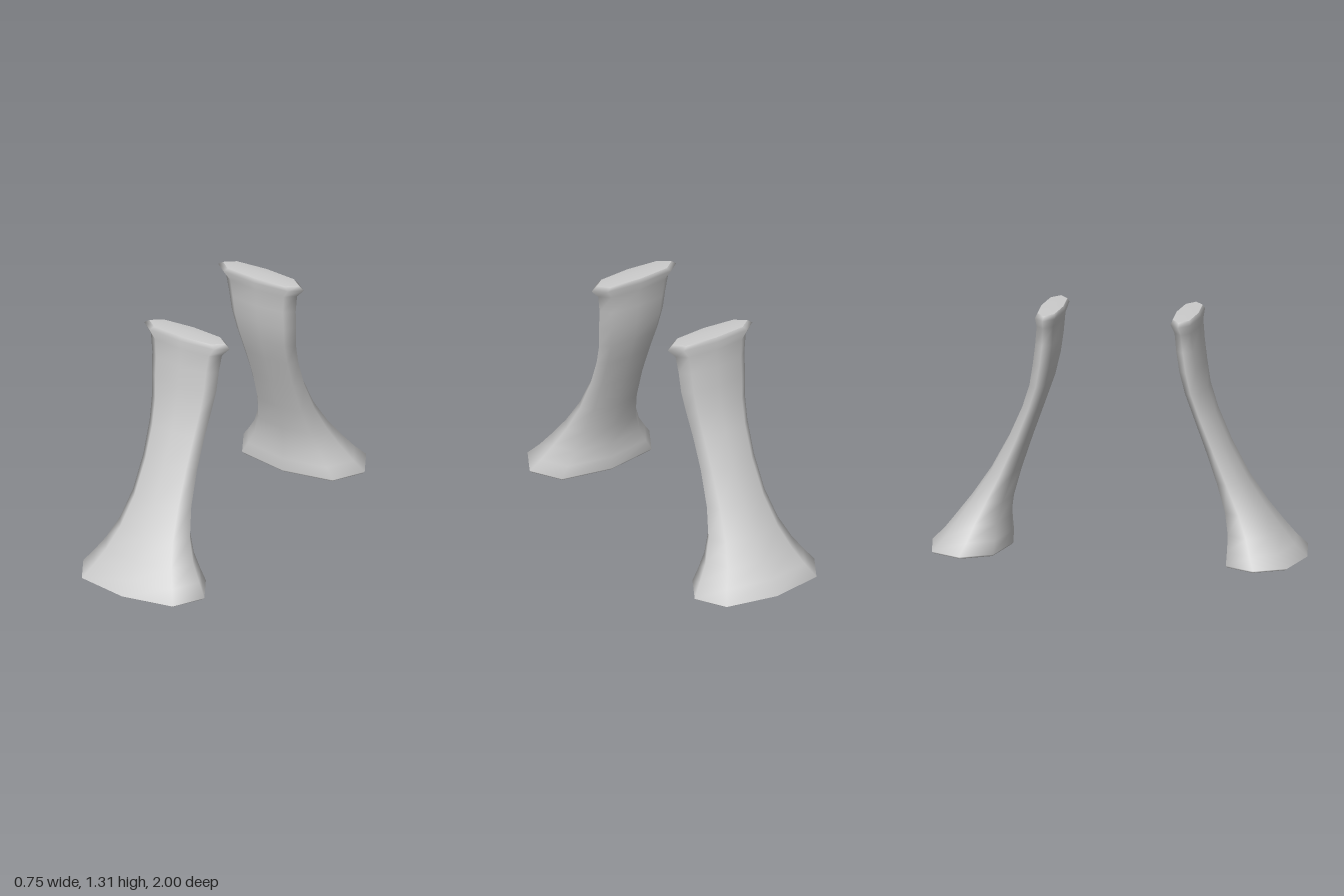
import * as THREE from 'three';

// Stations up the leg: height, half width, outer z, inner z
const STATIONS = [
  [0.005, 0.365, 0.985, 0.578],
  [0.015, 0.375, 1.0, 0.57],
  [0.08, 0.325, 0.935, 0.577],
  [0.16, 0.27, 0.872, 0.581],
  [0.27, 0.217, 0.787, 0.567],
  [0.42, 0.18, 0.685, 0.525],
  [0.6, 0.166, 0.588, 0.465],
  [0.77, 0.17, 0.513, 0.405],
  [0.9, 0.183, 0.47, 0.36],
  [1.02, 0.2, 0.45, 0.332],
  [1.13, 0.206, 0.436, 0.317],
  [1.23, 0.22, 0.426, 0.31],
  [1.28, 0.265, 0.431, 0.293],
  [1.302, 0.235, 0.42, 0.302],
];

// Flattened octagon, running from +z towards +x
const OCTAGON = [[0, 1], [0.75, 0.76], [1, 0], [0.75, -0.76], [0, -1], [-0.75, -0.76], [-1, 0], [-0.75, 0.76]];
const SIDES = OCTAGON.length;

const material = new THREE.MeshStandardMaterial({ color: 0xcccccc });

function ringPoints([y, w, zOut, zIn]) {
  const mid = (zOut + zIn) / 2, half = (zOut - zIn) / 2;
  return OCTAGON.flatMap(([u, v]) => [u * w, y, mid + v * half]);
}

function build(positions, index) {
  const geometry = new THREE.BufferGeometry();
  geometry.setAttribute('position', new THREE.Float32BufferAttribute(positions, 3));
  geometry.setIndex(index);
  geometry.computeVertexNormals();
  return geometry;
}

// Smooth skin through all stations
function skin() {
  const index = [];
  for (let i = 0; i < STATIONS.length - 1; i++) {
    for (let j = 0; j < SIDES; j++) {
      const k = (j + 1) % SIDES;
      const a = i * SIDES + j, b = i * SIDES + k;
      index.push(a, b, b + SIDES, a, b + SIDES, a + SIDES);
    }
  }
  return build(STATIONS.flatMap(ringPoints), index);
}

// Slightly domed fan closing one end
function cap(station, centreY, up) {
  const positions = [...ringPoints(station), 0, centreY, (station[2] + station[3]) / 2];
  const index = [];
  for (let j = 0; j < SIDES; j++) {
    const k = (j + 1) % SIDES;
    index.push(SIDES, up ? j : k, up ? k : j);
  }
  return build(positions, index);
}

function createLeg(name) {
  const leg = new THREE.Group();
  leg.name = name;
  const add = (part, geometry) => {
    const mesh = new THREE.Mesh(geometry, material);
    mesh.name = part;
    leg.add(mesh);
  };
  add('legColumn', skin());
  add('legTop', cap(STATIONS[STATIONS.length - 1], 1.31, true));
  add('footSole', cap(STATIONS[0], 0, false));
  return leg;
}

export function createModel() {
  const model = new THREE.Group();
  model.name = 'legPair';
  const front = createLeg('frontLeg');
  const back = createLeg('backLeg');
  back.rotation.y = Math.PI;
  model.add(front, back);
  return model;
}
